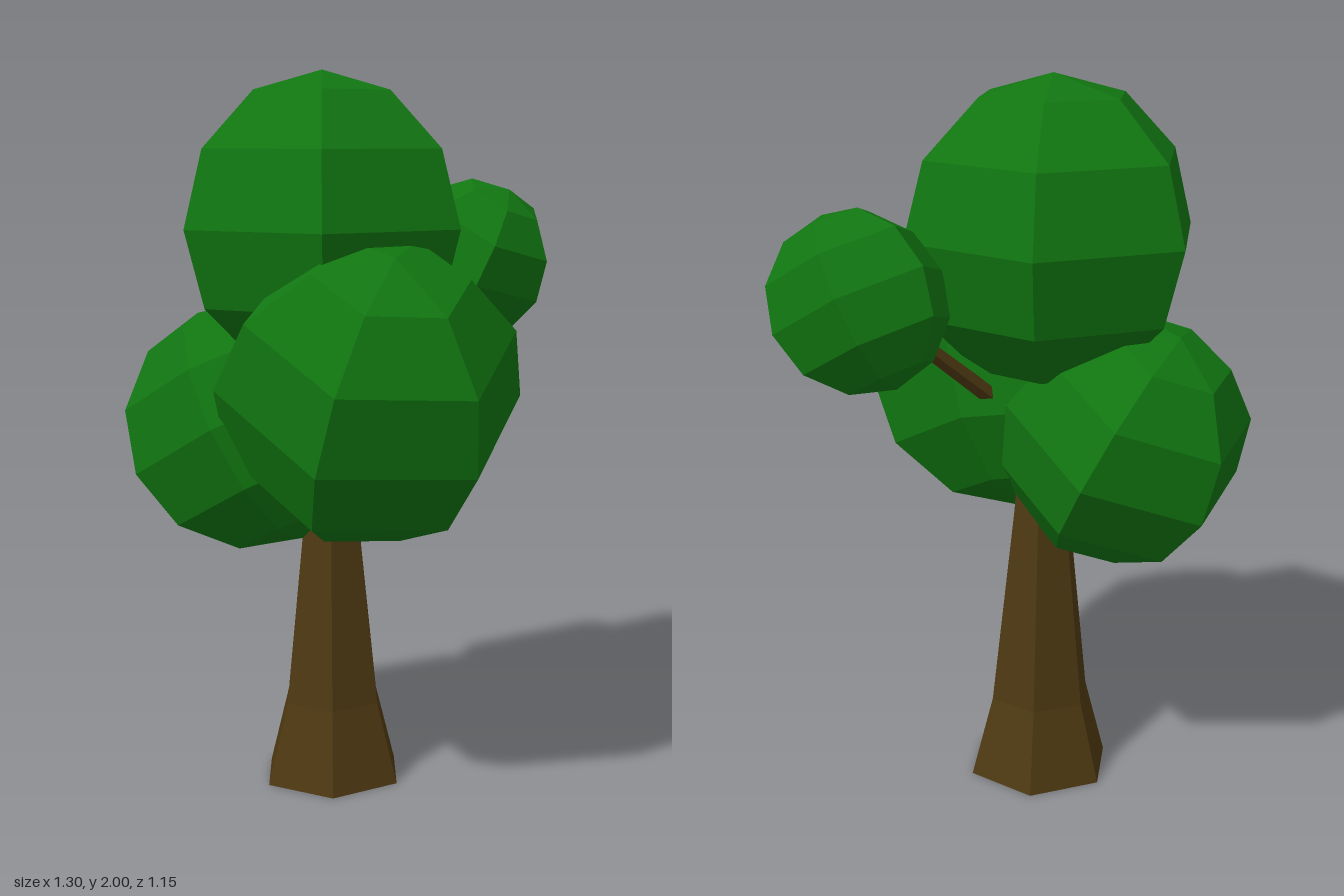
import * as THREE from 'three';

const leafGreen = new THREE.MeshStandardMaterial({ color: 0x117611 });
leafGreen.name = 'leafGreen';
const barkBrown = new THREE.MeshStandardMaterial({ color: 0x4e3912 });
barkBrown.name = 'barkBrown';
const cutWood = new THREE.MeshStandardMaterial({ color: 0x80705a });
cutWood.name = 'cutWood';

// One faceted mesh: split vertices so every face keeps its own normal
function facet(name, geometry, material) {
  const flat = geometry.toNonIndexed();
  flat.computeVertexNormals();
  const mesh = new THREE.Mesh(flat, material);
  mesh.name = name;
  return mesh;
}

// Six-sided leaf ball; axis points to its pole, ref to one equator corner
function leafBall(name, center, radius, axis, ref) {
  const y = new THREE.Vector3(...axis).normalize();
  const x = new THREE.Vector3(...ref).projectOnPlane(y).normalize();
  const z = new THREE.Vector3().crossVectors(x, y);
  const geometry = new THREE.SphereGeometry(radius, 6, 6);
  geometry.applyMatrix4(new THREE.Matrix4().makeBasis(x, y, z));
  geometry.translate(...center);
  return facet(name, geometry, leafGreen);
}

// Tapered rod between two points
function rod(name, from, to, r0, r1) {
  const a = new THREE.Vector3(...from);
  const b = new THREE.Vector3(...to);
  const dir = b.clone().sub(a);
  const mesh = facet(name, new THREE.CylinderGeometry(r1, r0, dir.length(), 6), barkBrown);
  mesh.position.copy(a).lerp(b, 0.5);
  mesh.quaternion.setFromUnitVectors(new THREE.Vector3(0, 1, 0), dir.normalize());
  return mesh;
}

export function createModel() {
  const tree = new THREE.Group();
  tree.name = 'tree';

  // Flared hexagonal trunk, corners on the x axis
  const profile = [[0.21, 0], [0.147, 0.23], [0.083, 0.8], [0.05, 1.25]];
  const trunkShape = new THREE.LatheGeometry(profile.map(([r, y]) => new THREE.Vector2(r, y)), 6);
  trunkShape.rotateY(Math.PI / 2);
  const trunk = facet('trunk', trunkShape, barkBrown);
  trunk.position.set(-0.133, 0, -0.095);

  // Sawn underside of the trunk
  const base = facet('trunkBase', new THREE.CircleGeometry(0.21, 6).rotateX(Math.PI / 2), cutWood);
  base.position.copy(trunk.position);

  tree.add(
    trunk,
    base,
    rod('branch', [-0.1, 1.04, -0.1], [0.4, 1.45, -0.2], 0.03, 0.02),
    leafBall('topLeaves', [-0.15, 1.58, -0.1], 0.42, [0, 1, 0], [1, 0, 0]),
    leafBall('frontLeaves', [-0.16, 1.15, 0.165], 0.42, [-0.1, 0.88, 0.46], [0.41, -0.05, 0.115]),
    leafBall('backLeaves', [-0.315, 1.02, -0.235], 0.352, [-0.25, 0.88, -0.4], [-0.34, -0.08, -0.07]),
    leafBall('leftLeaves', [0.425, 1.46, -0.21], 0.24, [0.26, 0.866, 0.42], [0, 1, 0])
  );
  return tree;
}
